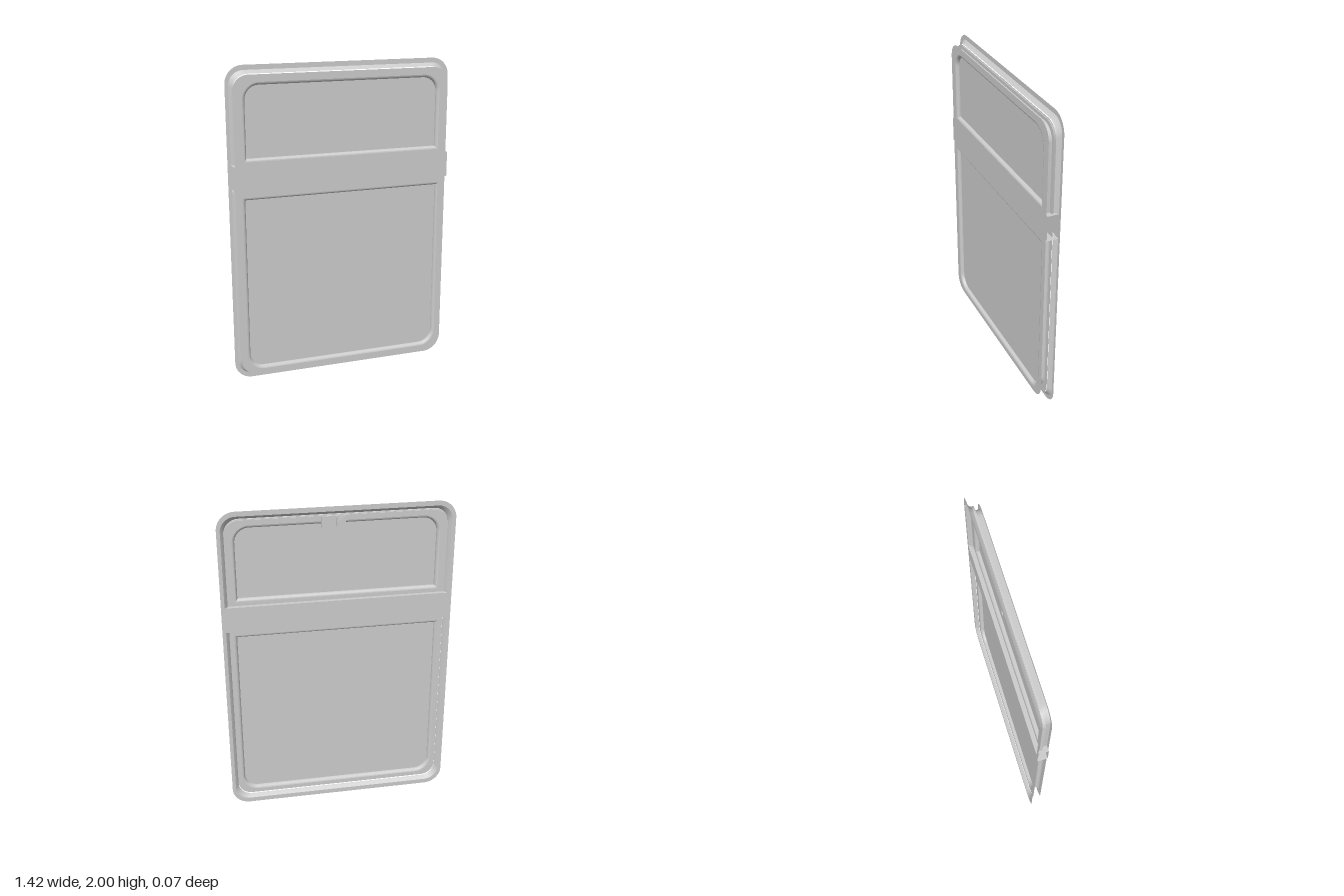
import * as THREE from 'three';
import { toCreasedNormals } from 'three/addons/utils/BufferGeometryUtils.js';

const material = new THREE.MeshStandardMaterial({ color: 0xcccccc, side: THREE.DoubleSide });
const FRONT = 0.036, BACK = -0.01, LIP = -0.036;
const BAR_LOW = 1.25, BAR_HIGH = 1.41;

// U-shaped outline: square ends at yBase, rounded corners (radius r) at yTip.
function arch(hw, yBase, yTip, r) {
  const s = Math.sign(yTip - yBase);
  const points = [new THREE.Vector2(hw, yBase)];
  for (const side of [1, -1]) {
    for (let i = 0; i <= 10; i++) {
      const a = ((side > 0 ? i : 10 - i) / 10) * Math.PI / 2;
      points.push(new THREE.Vector2(
        side * (hw - r + r * Math.cos(a)), yTip - s * r + s * r * Math.sin(a)));
    }
  }
  points.push(new THREE.Vector2(-hw, yBase));
  return points;
}

// Rectangle with four rounded corners, made from two arches.
function roundedOutline(hw, y0, y1, r) {
  const mid = (y0 + y1) / 2;
  return [...arch(hw, mid, y1, r), ...arch(hw, mid, y0, r).reverse().slice(1, -1)];
}

// Skin between outlines of equal length, each given as { points, z }.
function loft(sections, closed) {
  const n = sections[0].points.length, positions = [], index = [];
  for (const { points, z } of sections) {
    for (const p of points) positions.push(p.x, p.y, z);
  }
  for (let k = 0; k < sections.length - 1; k++) {
    for (let i = 0; i < (closed ? n : n - 1); i++) {
      const a = k * n + i, b = k * n + (i + 1) % n;
      index.push(a, a + n, b, b, a + n, b + n);
    }
  }
  const geometry = new THREE.BufferGeometry();
  geometry.setAttribute('position', new THREE.Float32BufferAttribute(positions, 3));
  geometry.setIndex(index);
  return toCreasedNormals(geometry, 0.6);
}

function sheet(outline, holes, z) {
  const shape = new THREE.Shape(outline);
  shape.holes = holes.map((h) => new THREE.Path(h));
  return new THREE.ShapeGeometry(shape).translate(0, 0, z);
}

export function createModel() {
  const model = new THREE.Group();
  const add = (name, geometry, parent = model) => {
    const mesh = new THREE.Mesh(geometry, material);
    mesh.name = name;
    parent.add(mesh);
    return mesh;
  };

  // Openings, square where they meet the cross bar
  const openings = [
    { name: 'upper', hw: 0.626, base: 1.434, tip: 1.906, r: 0.105 },
    { name: 'lower', hw: 0.64, base: 1.216, tip: 0.082, r: 0.105 },
  ];
  const opening = (o, inset) => {
    const s = Math.sign(o.tip - o.base);
    return arch(o.hw - inset, o.base + s * inset, o.tip - s * inset, o.r - inset);
  };
  const holes = openings.map((o) => opening(o, 0));

  // Front and back faces of the frame
  add('frameFront', sheet(roundedOutline(0.68, 0.05, 1.95, 0.1), holes, FRONT));
  add('frameBack', sheet(roundedOutline(0.67, 0.055, 1.945, 0.09), holes, BACK));

  // Half-round seals and panes
  const middle = (FRONT + BACK) / 2, depth = (FRONT - BACK) / 2;
  for (const o of openings) {
    const sections = [];
    for (let i = 0; i <= 10; i++) {
      const a = (i / 10) * Math.PI;
      sections.push({
        points: opening(o, 0.018 * Math.sin(a)),
        z: middle + depth * Math.cos(a),
      });
    }
    add(o.name + 'Seal', loft(sections, true));
    add(o.name + 'Pane', sheet(opening(o, 0.018), [], middle));
  }

  // Stepped outer wall of the upper half
  const wallSteps = [[0.655, FRONT], [0.655, 0.003], [0.675, 0.003], [0.67, -0.013]];
  add('upperWall', loft(wallSteps.map(([hw, z]) => ({
    points: arch(hw, BAR_HIGH, 1.27 + hw, 0.09), z,
  })), false));

  // Flared flange, interrupted by the cross bar, with a flat lip all around
  const flare = [[0.67, -0.012], [0.676, -0.022], [0.69, LIP]];
  add('upperFlange', loft(flare.map(([hw, z]) => ({
    points: arch(hw, BAR_HIGH, 1.28 + hw, 0.09), z,
  })), false));
  add('lowerFlange', loft(flare.map(([hw, z]) => ({
    points: arch(hw, BAR_LOW, 0.72 - hw, 0.09), z,
  })), false));
  add('flangeLip', sheet(roundedOutline(0.712, 0, 2, 0.11),
    [roundedOutline(0.69, 0.03, 1.97, 0.09)], LIP));

  // Hollow cross bar, open at both ends
  const bar = new THREE.Group();
  bar.name = 'crossBar';
  model.add(bar);
  const width = 1.385, height = BAR_HIGH - BAR_LOW, thick = FRONT - LIP;
  const centre = (BAR_LOW + BAR_HIGH) / 2;
  for (const [name, z] of [['barFront', FRONT], ['barBack', LIP - 0.001]]) {
    add(name, new THREE.PlaneGeometry(width, height), bar).position.set(0, centre, z);
  }
  for (const [name, y] of [['barBottom', BAR_LOW], ['barTop', BAR_HIGH]]) {
    add(name, new THREE.PlaneGeometry(width, thick).rotateX(-Math.PI / 2), bar)
      .position.set(0, y, 0);
  }

  // Small latch on the back, under the top edge
  const latch = new THREE.Group();
  latch.name = 'latch';
  model.add(latch);
  add('latchPlate', new THREE.BoxGeometry(0.145, 0.075, 0.012), latch).position.set(0.027, 1.9, -0.015);
  add('latchBlock', new THREE.BoxGeometry(0.05, 0.05, 0.006), latch).position.set(-0.015, 1.9, -0.023);
  add('latchKnob', new THREE.CylinderGeometry(0.016, 0.016, 0.008, 16).rotateX(Math.PI / 2), latch)
    .position.set(-0.01, 1.9, -0.029);

  return model;
}
